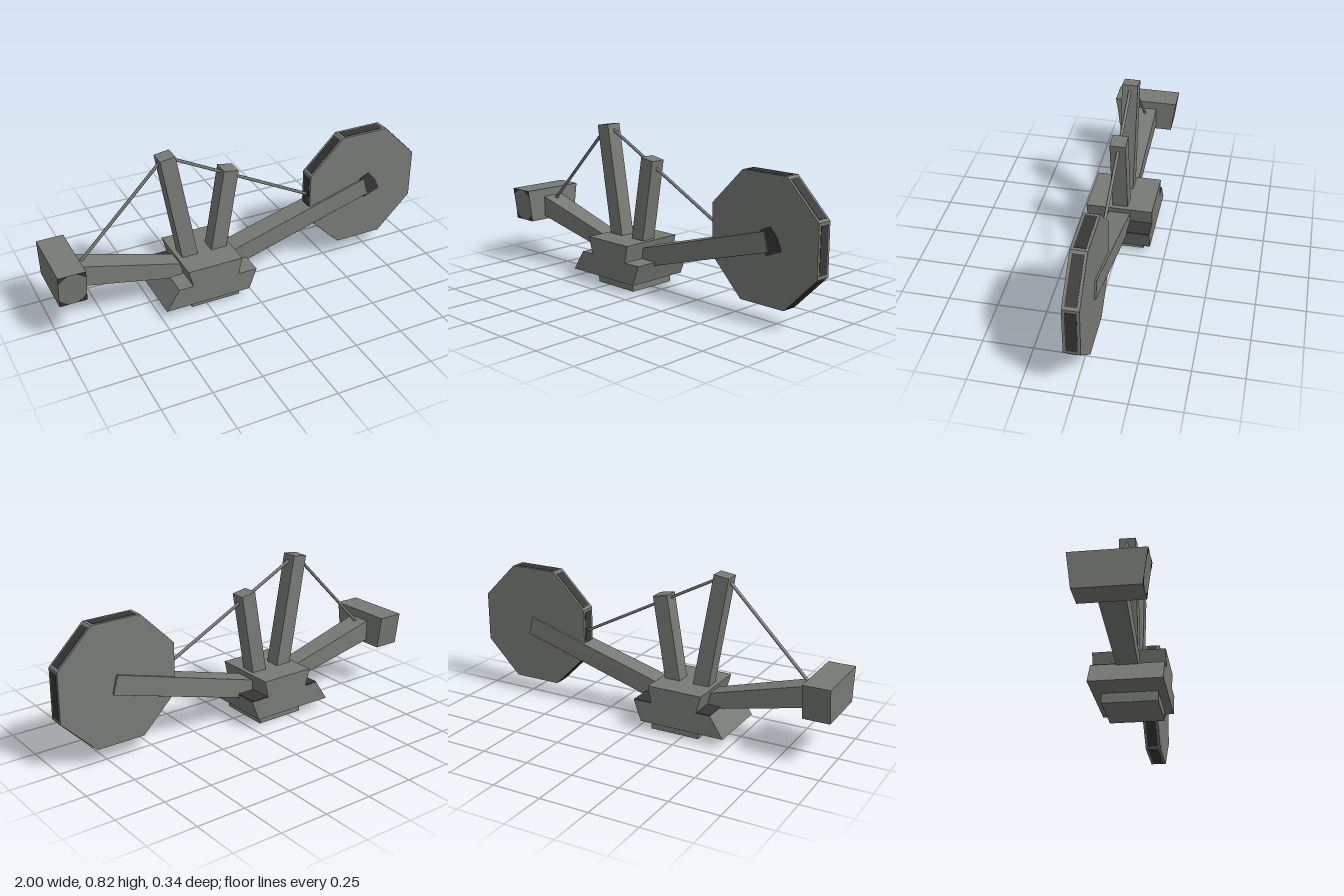
import * as THREE from 'three';

const steel = new THREE.MeshStandardMaterial({ color: 0x777a75 });
steel.name = 'grey steel';
const dark = new THREE.MeshStandardMaterial({ color: 0x363736 });
dark.name = 'dark panel';

// Extrudes an x-y profile along z; half(x, y) gives the half depth at each corner
function prism(name, points, half, material = steel, z = 0) {
  const shape = new THREE.Shape(points.map(([x, y]) => new THREE.Vector2(x, y)));
  const geo = new THREE.ExtrudeGeometry(shape, { depth: 2, bevelEnabled: false });
  const pos = geo.attributes.position;
  for (let i = 0; i < pos.count; i++) {
    const h = typeof half === 'function' ? half(pos.getX(i), pos.getY(i)) : half;
    pos.setZ(i, z + (pos.getZ(i) - 1) * h);
  }
  geo.computeVertexNormals();
  const mesh = new THREE.Mesh(geo, material);
  mesh.name = name;
  return mesh;
}

// Straight rod between two points in the middle plane
function cable(name, a, b) {
  const path = new THREE.LineCurve3(new THREE.Vector3(...a, 0), new THREE.Vector3(...b, 0));
  const mesh = new THREE.Mesh(new THREE.TubeGeometry(path, 1, 0.008, 6), steel);
  mesh.name = name;
  return mesh;
}

function plate(name, w, h, d, x, y, z) {
  const mesh = new THREE.Mesh(new THREE.BoxGeometry(w, h, d), dark);
  mesh.name = name;
  mesh.position.set(x, y, z);
  return mesh;
}

export function createModel() {
  const model = new THREE.Group();
  model.name = 'bucketWheelExcavator';

  // Foot and stepped body
  model.add(prism('foot', [[-0.33, 0], [-0.07, 0], [-0.07, 0.05], [-0.33, 0.05]], 0.132));
  model.add(prism('body', [
    [-0.48, 0.048], [-0.03, 0.048], [0.01, 0.155], [-0.09, 0.155],
    [-0.07, 0.244], [-0.36, 0.244], [-0.335, 0.155], [-0.41, 0.155],
  ], 0.172));
  model.add(plate('ledgePlate', 0.072, 0.004, 0.118, -0.374, 0.157, -0.112));
  model.add(plate('ledgePlate', 0.095, 0.004, 0.118, -0.04, 0.157, -0.112));

  // Booms, narrowing along their length
  model.add(prism('wheelBoom', [[-0.08, 0.112], [0.01, 0.137], [0.725, 0.342], [0.70, 0.436], [-0.06, 0.218], [-0.08, 0.212]],
    (x) => 0.055 - 0.006 * Math.max(x, 0) / 0.72));
  model.add(prism('counterBoom', [[-0.87, 0.255], [-0.34, 0.133], [-0.34, 0.215], [-0.87, 0.365]],
    (x) => 0.05 + 0.011 * (-0.4 - x) / 0.46));

  // Masts
  model.add(prism('tallMast', [[-0.335, 0.24], [-0.25, 0.24], [-0.352, 0.817], [-0.43, 0.806]], 0.04));
  model.add(prism('shortMast', [[-0.178, 0.24], [-0.095, 0.24], [-0.025, 0.662], [-0.103, 0.676]], 0.04));

  // Counterweight, narrower at its foot, with dark front corners
  const taper = (x, y) => 0.149 + 0.023 * (y - 0.235) / 0.173;
  const [l, r, b, t] = [-1, -0.865, 0.235, 0.408];
  model.add(prism('counterweight', [[l, b], [r, b], [r, t], [l, t]], taper));
  for (const x of [l, r]) for (const y of [b, t]) {
    const sx = x === l ? 1 : -1, sy = y === b ? 1 : -1;
    const tri = [[x, y], [x + sx * 0.045, y], [x, y + sy * 0.035]];
    const corners = sx * sy > 0 ? tri : tri.reverse();
    const mesh = prism('counterweightCorner', corners, 0.001, dark);
    const pos = mesh.geometry.attributes.position;
    for (let i = 0; i < pos.count; i++) pos.setZ(i, pos.getZ(i) + taper(0, pos.getY(i)));
    mesh.geometry.computeVertexNormals();
    model.add(mesh);
  }

  // Eight-sided wheel with a dark panel on every rim face
  const cx = 0.69, cy = 0.393, apothem = 0.308;
  const circum = apothem / Math.cos(Math.PI / 8);
  const rim = [];
  for (let i = 0; i < 8; i++) {
    const a = (i + 0.5) * Math.PI / 4;
    rim.push([cx + circum * Math.cos(a), cy + circum * Math.sin(a)]);
  }
  model.add(prism('wheel', rim, 0.04));
  for (let i = 0; i < 8; i++) {
    const a = i * Math.PI / 4;
    const panel = plate('rimPanel', 0.004, 0.225, 0.054,
      cx + apothem * Math.cos(a), cy + apothem * Math.sin(a), 0);
    panel.rotation.z = a;
    model.add(panel);
  }

  // Dark hub recess behind the boom tip
  model.add(prism('hubPlate', [[0.675, 0.438], [0.71, 0.32], [0.80, 0.357], [0.77, 0.42], [0.73, 0.463]],
    0.002, dark, 0.041));

  // Stay cables
  model.add(cable('rearCable', [-0.84, 0.35], [-0.40, 0.80]));
  model.add(cable('frontCable', [-0.38, 0.80], [0.41, 0.39]));
  return model;
}
